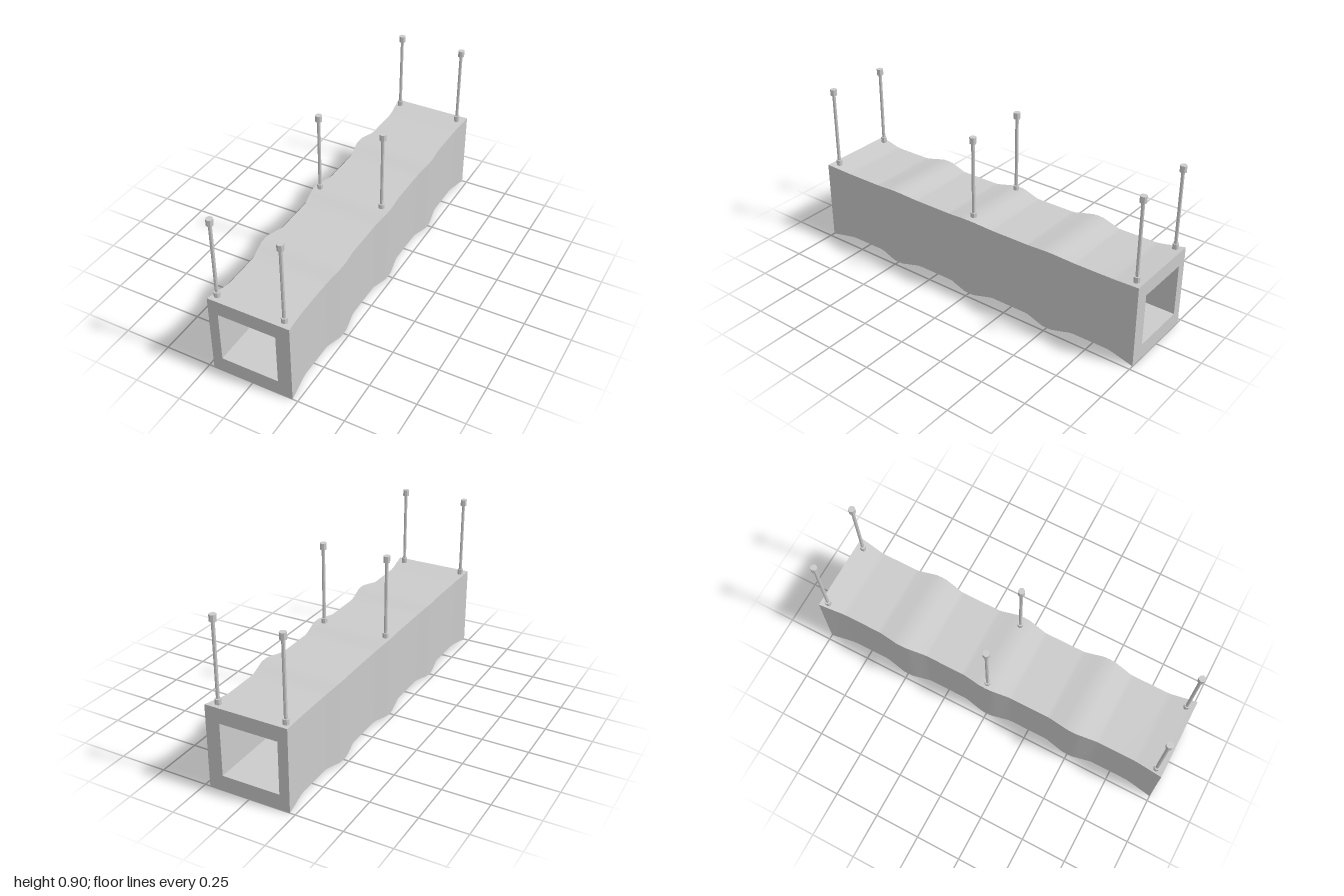
import * as THREE from 'three';

const material = new THREE.MeshStandardMaterial({ color: 0xcccccc });

// Half of the wall profile: [z, inset], mirrored to the back
const HALF = [[0, 0], [0.03, 0.001], [0.06, 0.006], [0.13, 0.018], [0.15, 0.019], [0.35, 0.019],
  [0.37, 0.018], [0.44, 0.006], [0.47, 0.001], [0.5, 0], [0.53, 0.001], [0.56, 0.006],
  [0.63, 0.018], [0.65, 0.019], [0.84, 0.019], [0.87, 0.017], [1, 0]];
const PROFILE = [...HALF.slice(1).reverse().map(([z, d]) => [-z, d]), ...HALF];

const OUTER = { x0: -0.222, x1: 0.222, y0: 0, y1: 0.448 };
const INNER = { x0: -0.168, x1: 0.145, y0: 0.083, y1: 0.367 };

function corners(r, d = 0) {
  return [[r.x0 + d, r.y0 + d], [r.x1 - d, r.y0 + d], [r.x1 - d, r.y1 - d], [r.x0 + d, r.y1 - d]];
}

// One wall of a rectangular tube, smooth along z
function wall(rect, side, profile, inward) {
  const pos = [], index = [];
  profile.forEach(([z, d], i) => {
    const c = corners(rect, d);
    pos.push(...c[side], z, ...c[(side + 1) % 4], z);
    if (i === 0) return;
    const a = 2 * i - 2, b = a + 1, e = a + 2, f = a + 3;
    if (inward) index.push(a, e, b, b, e, f);
    else index.push(a, b, e, b, f, e);
  });
  const g = new THREE.BufferGeometry();
  g.setAttribute('position', new THREE.Float32BufferAttribute(pos, 3));
  g.setIndex(index);
  g.computeVertexNormals();
  return g;
}

function addMesh(parent, name, geometry) {
  const mesh = new THREE.Mesh(geometry, material);
  mesh.name = name;
  parent.add(mesh);
  return mesh;
}

// Faceted cylinder standing between two heights
function post(radius, y0, y1) {
  return new THREE.CylinderGeometry(radius, radius, y1 - y0, 8).translate(0, (y0 + y1) / 2, 0);
}

export function createModel() {
  const model = new THREE.Group();
  model.name = 'hangingDuct';

  // Duct: bulging outer skin and straight inner passage
  const duct = new THREE.Group();
  duct.name = 'duct';
  model.add(duct);
  for (let s = 0; s < 4; s++) {
    addMesh(duct, 'outerWall', wall(OUTER, s, PROFILE, false));
    addMesh(duct, 'innerWall', wall(INNER, s, [[-1, 0], [1, 0]], true));
  }

  // Frame-shaped end faces
  const toPoints = (r) => corners(r).map(([x, y]) => new THREE.Vector2(x, y));
  const frame = new THREE.Shape(toPoints(OUTER));
  frame.holes.push(new THREE.Path(toPoints(INNER).reverse()));
  addMesh(duct, 'frontEnd', new THREE.ShapeGeometry(frame)).position.z = 1;
  const back = new THREE.Shape(toPoints(OUTER).map((p) => new THREE.Vector2(-p.x, p.y)));
  back.holes.push(new THREE.Path(toPoints(INNER).map((p) => new THREE.Vector2(-p.x, p.y))));
  const backEnd = addMesh(duct, 'backEnd', new THREE.ShapeGeometry(back));
  backEnd.rotation.y = Math.PI;
  backEnd.position.z = -1;

  // Hanger rods with a collar at each end
  const parts = {
    rod: post(0.009, 0.44, 0.87),
    lowerCollar: post(0.016, 0.44, 0.473),
    upperCollar: post(0.018, 0.864, 0.898),
  };
  const flat = material.clone();
  flat.flatShading = true;
  for (const z of [-0.96, 0, 0.96]) {
    for (const x of [-0.191, 0.173]) {
      const hanger = new THREE.Group();
      hanger.name = 'hanger';
      hanger.position.set(x, 0, z);
      for (const [name, g] of Object.entries(parts)) addMesh(hanger, name, g).material = flat;
      model.add(hanger);
    }
  }
  return model;
}
